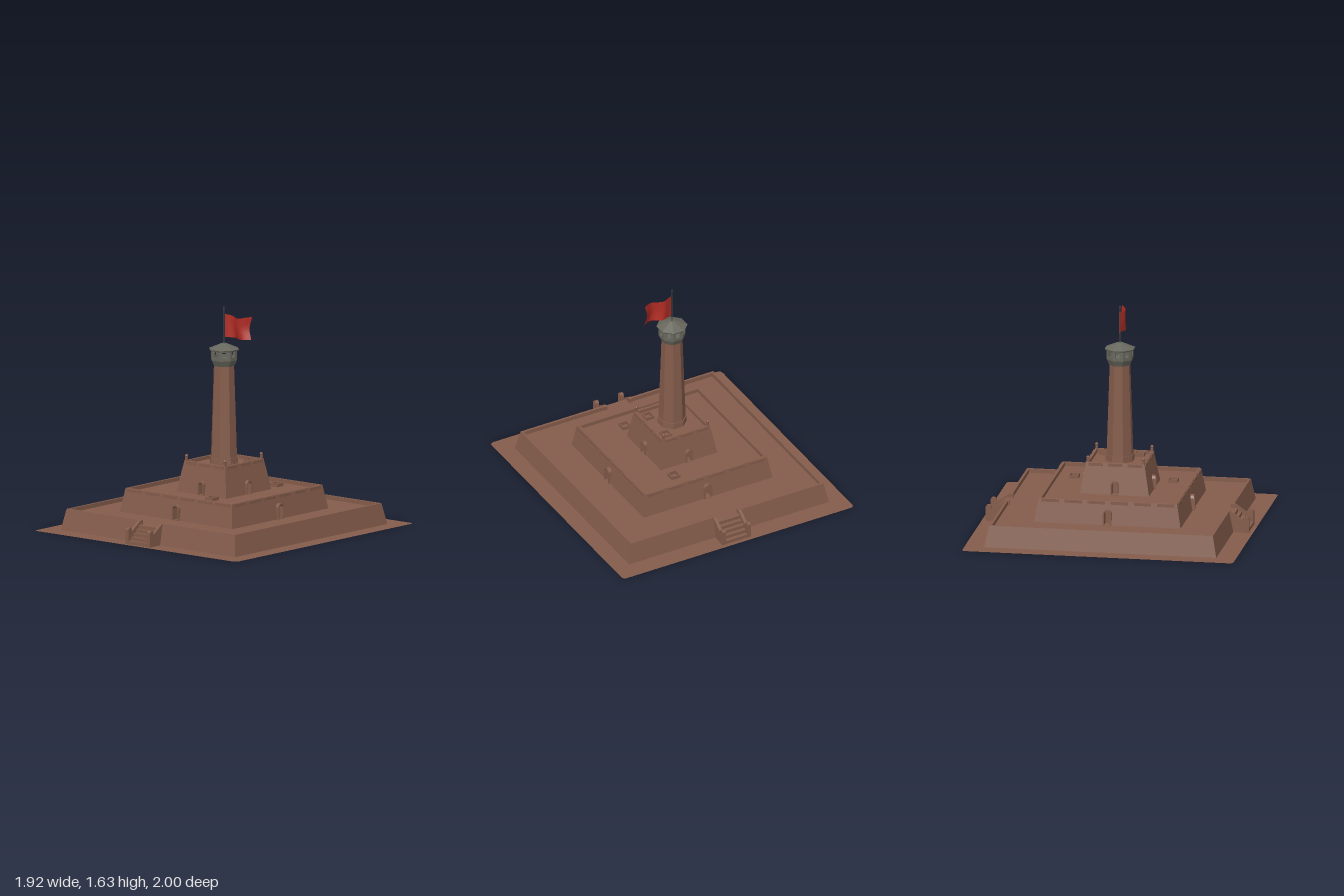
import * as THREE from 'three';

const D = THREE.DoubleSide;
const mat = (name, color) => {
  const m = new THREE.MeshStandardMaterial({ color, side: D, flatShading: true });
  m.name = name;
  return m;
};

export function createModel() {
  const model = new THREE.Group();
  const brick = mat('brown brick', 0x845c4b);
  const grey = mat('grey stone', 0x67675d);
  const red = mat('red cloth', 0xb02c24);
  const dark = mat('dark pole', 0x45453f);

  const add = (parent, name, geo, m, x = 0, y = 0, z = 0) => {
    const mesh = new THREE.Mesh(geo, m);
    mesh.name = name;
    mesh.position.set(x, y, z);
    parent.add(mesh);
    return mesh;
  };
  const box = (parent, name, w, h, d, x, y, z, m = brick) =>
    add(parent, name, new THREE.BoxGeometry(w, h, d), m, x, y, z);
  const group = (name, parent = model) => {
    const g = new THREE.Group();
    g.name = name;
    parent.add(g);
    return g;
  };

  // Closed outlines
  const outline = (pts, Type = THREE.Shape) => new Type(pts.map(p => new THREE.Vector2(...p)));
  const rect = (a, b, Type) => outline([[-a, -b], [a, -b], [a, b], [-a, b]], Type);
  const arch = (w, h, y, Type = THREE.Shape) => {
    const s = new Type();
    s.moveTo(-w, y);
    s.lineTo(w, y);
    s.lineTo(w, h - w);
    s.absarc(0, h - w, w, 0, Math.PI, false);
    s.closePath();
    return s;
  };

  // Horizontal sheet with an optional rectangular opening
  const sheet = (name, shape, y, hole) => {
    if (hole) shape.holes.push(rect(hole[0], hole[1], THREE.Path));
    add(model, name, new THREE.ShapeGeometry(shape, 6).rotateX(-Math.PI / 2), brick, 0, y, 0);
  };

  // Ground apron with slightly rounded corners
  const ground = new THREE.Shape();
  const gx = 0.96, gz = 1, r = 0.035;
  ground.moveTo(-gx + r, -gz);
  ground.lineTo(gx - r, -gz);
  ground.quadraticCurveTo(gx, -gz, gx, -gz + r);
  ground.lineTo(gx, gz - r);
  ground.quadraticCurveTo(gx, gz, gx - r, gz);
  ground.lineTo(-gx + r, gz);
  ground.quadraticCurveTo(-gx, gz, -gx, gz - r);
  ground.lineTo(-gx, -gz + r);
  ground.quadraticCurveTo(-gx, -gz, -gx + r, -gz);
  sheet('groundApron', ground, 0, [0.83, 0.855]);

  // Hollow terraces: base half sizes, top half sizes, heights, floor level
  const tiers = [
    { name: 'lowerTerrace', b: [0.83, 0.855], t: [0.8, 0.825], y0: 0, y1: 0.155, floor: 0.125, gap: 0.09, panels: 0 },
    { name: 'middleTerrace', b: [0.535, 0.54], t: [0.505, 0.51], y0: 0.125, y1: 0.3, floor: 0.272, door: [0.032, 0.115], panels: 6 },
    { name: 'upperTerrace', b: [0.235, 0.255], t: [0.195, 0.215], y0: 0.272, y1: 0.5, floor: 0.475, door: [0.028, 0.1], panels: 3 },
  ];
  tiers.forEach((T, k) => {
    const g = group(T.name);
    for (let i = 0; i < 4; i++) {
      const side = group('terraceSide', g);
      side.rotation.y = i * Math.PI / 2;
      const a = T.b[i % 2], ta = T.t[i % 2], d = T.b[1 - i % 2], td = T.t[1 - i % 2];
      const h = T.y1 - T.y0, L = Math.hypot(d - td, h), gap = i % 2 ? 0 : T.gap;
      // Battered wall, notched for steps or pierced for a doorway
      const f = L * (T.floor - T.y0) / h;
      const notch = gap ? [[gap, L], [gap, f], [-gap, f], [-gap, L]] : [];
      const shape = outline([[-a, 0], [a, 0], [ta, L], ...notch, [-ta, L]]);
      if (T.door) shape.holes.push(arch(T.door[0] - 0.005, T.door[1] - 0.005, 0.004, THREE.Path));
      const wall = add(side, 'terraceWall', new THREE.ShapeGeometry(shape, 8), brick, 0, T.y0, d);
      wall.rotation.x = -Math.atan2(d - td, h);
      // Parapet
      const ph = T.y1 - T.floor, py = T.floor + ph / 2;
      if (gap) {
        for (const s of [-1, 1])
          box(side, 'parapet', ta - gap, ph, 0.018, s * (ta + gap) / 2, py, td - 0.009);
      } else box(side, 'parapet', 2 * ta, ph, 0.018, 0, py, td - 0.009);
      // Raised parapet panels
      for (let p = 0; p < T.panels; p++) {
        const step = 2 * ta / T.panels;
        box(side, 'parapetPanel', step * 0.75, 0.022, 0.01, -ta + step * (p + 0.5), T.y1 - 0.014, td + 0.002);
      }
      // Arched doorway with a recessed back
      if (T.door) {
        const [w, dh] = T.door;
        const frame = arch(w, dh, 0);
        frame.holes.push(arch(w - 0.009, dh - 0.009, 0.003, THREE.Path));
        add(side, 'doorFrame', new THREE.ExtrudeGeometry(frame, { depth: 0.06, bevelEnabled: false, curveSegments: 8 }),
          brick, 0, T.y0, d - 0.05);
        add(side, 'doorBack', new THREE.ShapeGeometry(arch(w - 0.004, dh - 0.004, 0), 8), brick, 0, T.y0, d - 0.048);
      }
    }
    sheet(T.name + 'Floor', rect(...T.t), T.floor, tiers[k + 1] && tiers[k + 1].b);
  });

  // Front and back steps with sloping cheek walls and rounded end posts
  for (const s of [0, 1]) {
    const g = group(s ? 'backSteps' : 'frontSteps');
    g.rotation.y = s * Math.PI;
    for (let i = 0; i < 5; i++)
      box(g, 'step', 0.186, 0.025, 0.034, 0, 0.0125 + i * 0.025, 0.95 - i * 0.028);
    const cheek = outline([[0.8, 0], [0.965, 0], [0.965, 0.085], [0.925, 0.09], [0.83, 0.155], [0.8, 0.155]]);
    for (const x of [-0.103, 0.103]) {
      const geo = new THREE.ExtrudeGeometry(cheek, { depth: 0.022, bevelEnabled: false }).rotateY(-Math.PI / 2);
      add(g, 'cheekWall', geo, brick, x + 0.011, 0, 0);
      const post = new THREE.ExtrudeGeometry(arch(0.02, 0.12, 0), { depth: 0.028, bevelEnabled: false, curveSegments: 6 });
      add(g, 'endPost', post.rotateY(-Math.PI / 2), brick, x + 0.014, 0, 0.95);
    }
  }

  // Low square kerbs around the roof hatches
  for (const [x, z, y] of [[0.19, -0.37, 0.272], [0.19, 0.36, 0.272], [0.13, -0.14, 0.475], [0.13, 0.125, 0.475]]) {
    const g = group('hatch');
    g.position.set(x, y, z);
    for (const s of [-1, 1]) {
      box(g, 'hatchKerb', 0.07, 0.025, 0.008, 0, 0.0125, s * 0.031);
      box(g, 'hatchKerb', 0.008, 0.025, 0.07, s * 0.031, 0.0125, 0);
    }
  }

  // Corner posts on the upper terrace
  for (const x of [-0.183, 0.183]) for (const z of [-0.204, 0.204]) {
    box(model, 'cornerPost', 0.016, 0.06, 0.016, x, 0.5, z);
    add(model, 'cornerKnob', new THREE.SphereGeometry(0.012, 8, 6), brick, x, 0.534, z);
  }

  // Octagonal tower
  const oct = (name, rt, rb, y0, y1, m, open = false) => {
    const geo = new THREE.CylinderGeometry(rt, rb, y1 - y0, 8, 1, open).rotateY(Math.PI / 8);
    return add(model, name, geo, m, 0, (y0 + y1) / 2, 0);
  };
  oct('towerPlinth', 0.106, 0.108, 0.475, 0.52, brick);
  oct('towerShaft', 0.077, 0.101, 0.475, 1.2, brick);

  // Lantern room with a window in each face
  oct('lanternCorbel', 0.1, 0.079, 1.195, 1.24, grey);
  const apothem = 0.1 * Math.cos(Math.PI / 8), half = 0.1 * Math.sin(Math.PI / 8);
  for (let i = 0; i < 8; i++) {
    const pane = outline([[-half, 1.238], [half, 1.238], [half, 1.315], [-half, 1.315]]);
    pane.holes.push(outline([[-0.017, 1.262], [0.017, 1.262], [0.017, 1.302], [-0.017, 1.302]], THREE.Path));
    const geo = new THREE.ExtrudeGeometry(pane, { depth: 0.012, bevelEnabled: false });
    geo.translate(0, 0, apothem - 0.012).rotateY(i * Math.PI / 4);
    add(model, 'lanternWall', geo, grey);
  }
  oct('roofEave', 0.114, 0.11, 1.308, 1.318, grey);
  oct('roof', 0.02, 0.114, 1.318, 1.358, grey);

  // Flagpole
  add(model, 'flagpole', new THREE.CylinderGeometry(0.003, 0.005, 0.275, 8), dark, 0, 1.4925, 0);
  add(model, 'poleTip', new THREE.SphereGeometry(0.006, 8, 6), dark, 0, 1.622, 0);

  // Waving flag
  const flag = new THREE.PlaneGeometry(0.225, 0.16, 18, 6);
  const p = flag.attributes.position;
  for (let i = 0; i < p.count; i++) {
    const u = p.getX(i) / 0.225 + 0.5, v = p.getY(i) / 0.16;
    const sag = 0.009 * Math.cos(u * Math.PI * 2);
    p.setXYZ(i, 0.008 + u * 0.225 - 0.012 * u * Math.cos(v * 5), 1.486 + v * 0.16 + sag * (v + 0.5),
      -0.022 * Math.sin(u * Math.PI * 2.2 + v * 0.6) * Math.min(1, u * 3) - 0.012 * u);
  }
  flag.computeVertexNormals();
  const cloth = red;
  cloth.flatShading = false;
  add(model, 'flag', flag, cloth);

  return model;
}
